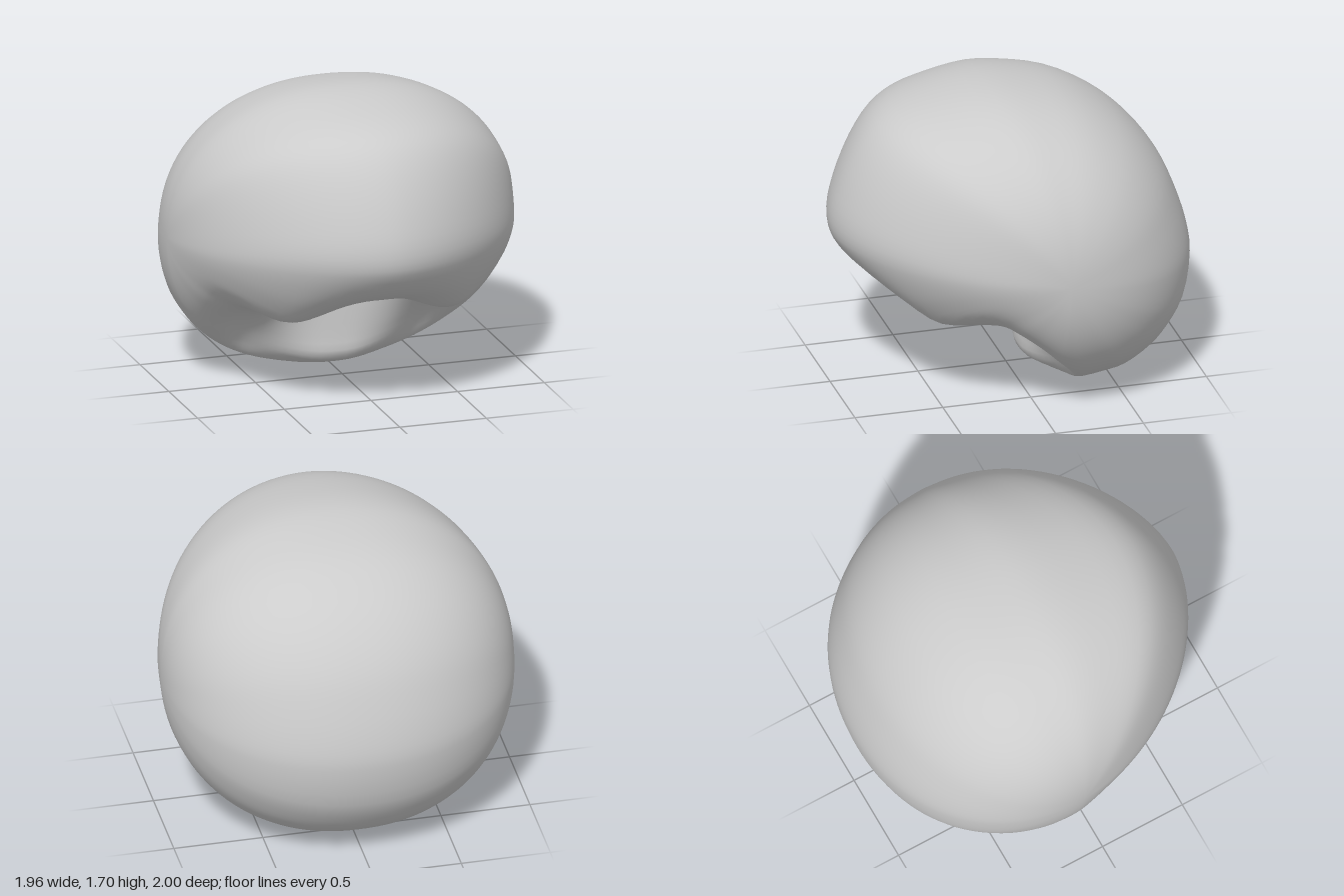
import * as THREE from 'three';
import { mergeVertices } from 'three/addons/utils/BufferGeometryUtils.js';

// Side outline as [z, y]: brow, crown, back and base
const DOME = [
  [1, 0.97], [0.97, 1.12], [0.88, 1.34], [0.77, 1.5], [0.64, 1.59], [0.4, 1.66], [0.13, 1.7],
  [-0.1, 1.68], [-0.35, 1.62], [-0.57, 1.5], [-0.72, 1.365], [-0.84, 1.2], [-0.92, 1.02],
  [-0.98, 0.83], [-1, 0.68], [-0.96, 0.43], [-0.87, 0.27], [-0.77, 0.16], [-0.6, 0.05],
  [-0.45, 0.015], [-0.28, 0],
];
// Underside below the front: raised arch in the middle, lower rim beside it, filled in at the flanks
const HOLLOW_MIDDLE = [
  [-0.17, 0.02], [-0.07, 0.08], [-0.07, 0.2], [-0.08, 0.4], [-0.08, 0.58], [0.04, 0.66],
  [0.25, 0.64], [0.52, 0.61], [0.7, 0.64], [0.86, 0.72], [0.98, 0.86],
];
const HOLLOW_SIDE = [
  [-0.25, 0.03], [-0.21, 0.1], [-0.14, 0.2], [-0.05, 0.29], [0.05, 0.36], [0.18, 0.41],
  [0.4, 0.43], [0.64, 0.46], [0.78, 0.57], [0.89, 0.7], [0.98, 0.86],
];
const HOLLOW_FLANK = [
  [-0.14, 0.03], [0, 0.09], [0.13, 0.16], [0.26, 0.24], [0.4, 0.33], [0.53, 0.43],
  [0.65, 0.52], [0.76, 0.61], [0.86, 0.7], [0.94, 0.79], [0.99, 0.88],
];

const HALF_WIDTH = 0.98;
const POLE = { z: -0.1, y: 0.85 };
const SLICES = 64, AROUND = 96;
const { smoothstep } = THREE.MathUtils;

function outline(hollow) {
  const pts = [...DOME, ...hollow].map(([z, y]) => new THREE.Vector3(0, y, z));
  return new THREE.CatmullRomCurve3(pts, true, 'centripetal').getPoints(AROUND);
}

// Superellipse falloff from the middle (t = 0) to the side (t = 1)
const falloff = (t, power) => Math.pow(Math.max(0, 1 - Math.pow(t, power)), 1 / power);

function bodyGeometry() {
  const middle = outline(HOLLOW_MIDDLE), side = outline(HOLLOW_SIDE), flank = outline(HOLLOW_FLANK);
  const positions = [], index = [], p = new THREE.Vector3();
  for (let i = 0; i <= SLICES; i++) {
    // Slices run from the left side to the right side; the front tapers more than the back
    const x = HALF_WIDTH * Math.cos(Math.PI * i / SLICES);
    const t = Math.abs(x) / HALF_WIDTH;
    const fy = falloff(t, 2.2), fBack = falloff(t, 2.08), fFront = falloff(t, 1.8);
    const toSide = smoothstep(Math.abs(x), 0.04, 0.52);
    const toFlank = smoothstep(Math.abs(x), 0.48, 0.92);
    for (let j = 0; j < AROUND; j++) {
      p.lerpVectors(middle[j], side[j], toSide).lerp(flank[j], toFlank);
      const dz = p.z - POLE.z;
      positions.push(x, POLE.y + fy * (p.y - POLE.y), POLE.z + dz * (dz > 0 ? fFront : fBack));
      if (i === SLICES) continue;
      const a = i * AROUND + j, b = i * AROUND + (j + 1) % AROUND;
      index.push(a, b, a + AROUND, b, b + AROUND, a + AROUND);
    }
  }
  const geo = new THREE.BufferGeometry();
  geo.setAttribute('position', new THREE.Float32BufferAttribute(positions, 3));
  geo.setIndex(index);
  const merged = mergeVertices(geo, 1e-5);
  merged.computeVertexNormals();
  return merged;
}

export function createModel() {
  const group = new THREE.Group();
  const body = new THREE.Mesh(bodyGeometry(), new THREE.MeshStandardMaterial({ color: 0xcccccc }));
  body.name = 'roundedShell';
  group.add(body);
  return group;
}
